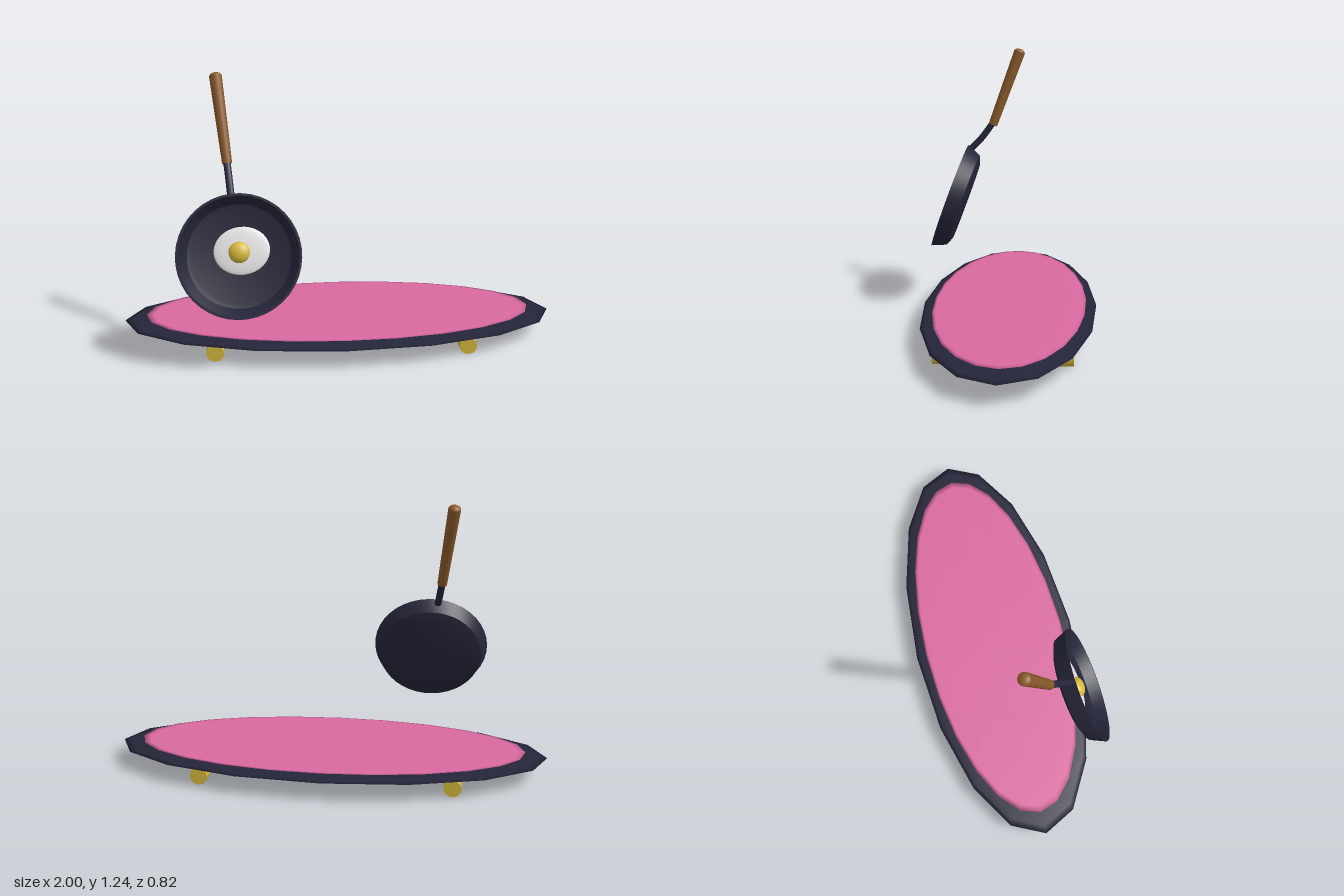
import * as THREE from 'three';
import { toCreasedNormals } from 'three/addons/utils/BufferGeometryUtils.js';

const paint = (name, color) => {
  const m = new THREE.MeshStandardMaterial({ color });
  m.name = name;
  return m;
};

export function createModel() {
  const iron = paint('dark iron', 0x25253a);
  const pink = paint('pink', 0xd9699f);
  const gold = paint('gold', 0xd6b93c);
  const wood = paint('wood', 0x8b5a2b);
  const white = paint('egg white', 0xf0f0f0);

  const model = new THREE.Group();
  const add = (parent, name, geometry, material, x = 0, y = 0, z = 0) => {
    const mesh = new THREE.Mesh(geometry, material);
    mesh.name = name;
    mesh.position.set(x, y, z);
    parent.add(mesh);
    return mesh;
  };
  const ellipsoid = (rx, ry, rz, w, h) => new THREE.SphereGeometry(1, w, h).scale(rx, ry, rz);

  // Skateboard: flattened deck, pink grip surface and four wheels
  const board = new THREE.Group();
  board.name = 'skateboard';
  model.add(board);
  add(board, 'deck', ellipsoid(1, 0.021, 0.4, 16, 12), iron, 0, 0.085, -0.01);
  add(board, 'gripSurface', ellipsoid(0.9, 0.004, 0.35, 24, 12), pink, 0, 0.11, -0.012);
  for (const x of [-0.57, 0.565])
    for (const z of [-0.26, 0.24])
      add(board, 'wheel', new THREE.CylinderGeometry(0.04, 0.04, 0.08, 12).rotateX(Math.PI / 2), gold, x, 0.04, z);

  // Frying pan: local +z is the open side, local +y runs along the handle
  const pan = new THREE.Group();
  pan.name = 'fryingPan';
  pan.position.set(-0.45, 0.51, 0.3175);
  pan.rotation.set(THREE.MathUtils.degToRad(-20), 0, THREE.MathUtils.degToRad(6.5));
  model.add(pan);

  // Pan body: closed profile from the outer base over the rim to the inner floor
  const profile = [
    [0, -0.087], [0.2, -0.087], [0.241, -0.07], [0.27, 0], [0.26, 0], [0.225, -0.052], [0.2, -0.058], [0, -0.058],
  ].map(([r, y]) => new THREE.Vector2(r, y));
  const bowl = toCreasedNormals(new THREE.LatheGeometry(profile, 40).rotateX(Math.PI / 2), 0.5);
  add(pan, 'panBody', bowl, iron);

  // Bent neck joining the pan to the handle
  const neckPath = new THREE.CatmullRomCurve3([
    new THREE.Vector3(0, 0.25, -0.015),
    new THREE.Vector3(0, 0.285, -0.031),
    new THREE.Vector3(0, 0.333, -0.052),
    new THREE.Vector3(0, 0.43, -0.08),
  ]);
  add(pan, 'neck', new THREE.TubeGeometry(neckPath, 16, 0.016, 12), iron);

  // Wooden handle with a shallow domed end
  add(pan, 'handle', new THREE.CylinderGeometry(0.028, 0.022, 0.385, 20), wood, 0, 0.6, -0.08);
  add(pan, 'handleEnd', ellipsoid(0.028, 0.018, 0.028, 20, 12), wood, 0, 0.7925, -0.08);

  // Fried egg
  add(pan, 'eggWhite', ellipsoid(0.122, 0.104, 0.014, 28, 16), white, 0.014, 0.022, -0.053);
  add(pan, 'eggYolk', ellipsoid(0.047, 0.047, 0.03, 24, 16), gold, 0.002, 0.017, -0.045);

  return model;
}
